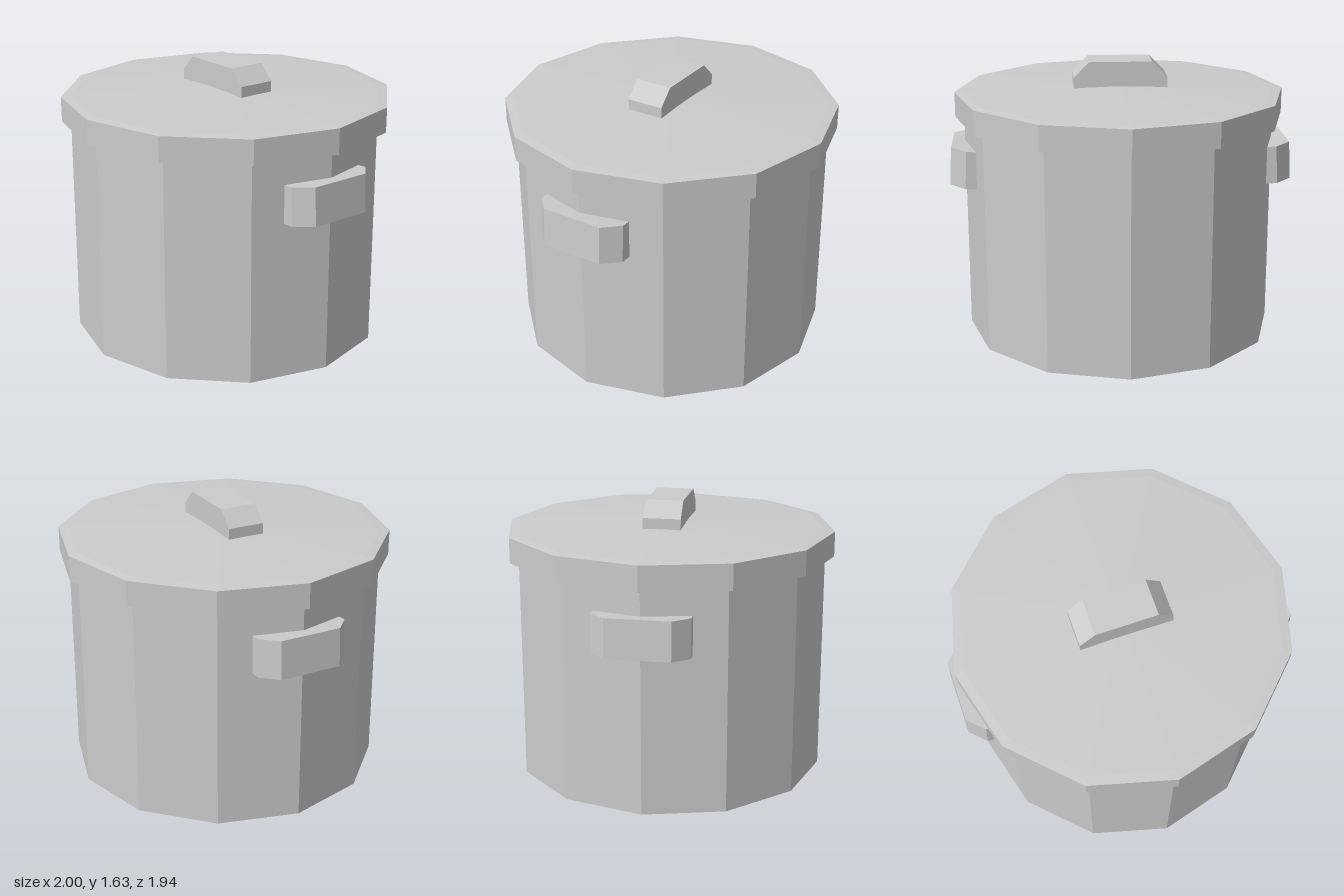
import * as THREE from 'three';

const material = new THREE.MeshStandardMaterial({ color: 0xcccccc, flatShading: true });
const SIDES = 12;

// Solid twelve-sided body of revolution from [radius, y] pairs, bottom to top
function turned(name, profile) {
  const points = profile.map(([r, y]) => new THREE.Vector2(r, y));
  const mesh = new THREE.Mesh(new THREE.LatheGeometry(points, SIDES), material);
  mesh.name = name;
  return mesh;
}

// Block with two chamfered corners; its outer face lies on local y = 0
function grip(name, height, chamfer, width) {
  const half = 0.272, flat = 0.183;
  const shape = new THREE.Shape([
    [-half, -height], [half, -height], [half, -chamfer],
    [flat, 0], [-flat, 0], [-half, -chamfer],
  ].map(([x, y]) => new THREE.Vector2(x, y)));
  const geometry = new THREE.ExtrudeGeometry(shape, { depth: width, bevelEnabled: false });
  geometry.translate(0, 0, -width / 2);
  const mesh = new THREE.Mesh(geometry, material);
  mesh.name = name;
  return mesh;
}

export function createModel() {
  const model = new THREE.Group();
  model.name = 'pot';

  // Pot body
  model.add(turned('body', [[0, 0], [0.915, 0], [0.915, 1.3], [0, 1.3]]));

  // Lid with a straight rim, narrow edge band and shallow cone
  model.add(turned('lid', [[0, 1.293], [0.968, 1.293], [0.968, 1.44], [0.915, 1.446], [0, 1.488]]));

  // Knob on the lid
  const knob = grip('lidKnob', 0.17, 0.09, 0.22);
  knob.position.y = 1.627;
  model.add(knob);

  // Side handles, leaning slightly outward at the bottom
  for (const s of [1, -1]) {
    const handle = grip('sideHandle', 0.17, 0.092, 0.222);
    handle.geometry.applyMatrix4(new THREE.Matrix4().makeBasis(
      new THREE.Vector3(0, 0, s), new THREE.Vector3(s, 0, 0), new THREE.Vector3(0, 1, 0)));
    handle.name = s > 0 ? 'leftHandle' : 'rightHandle';
    handle.position.set(s * 0.994, 1.042, 0);
    handle.rotation.z = s * 0.05;
    model.add(handle);
  }
  return model;
}
